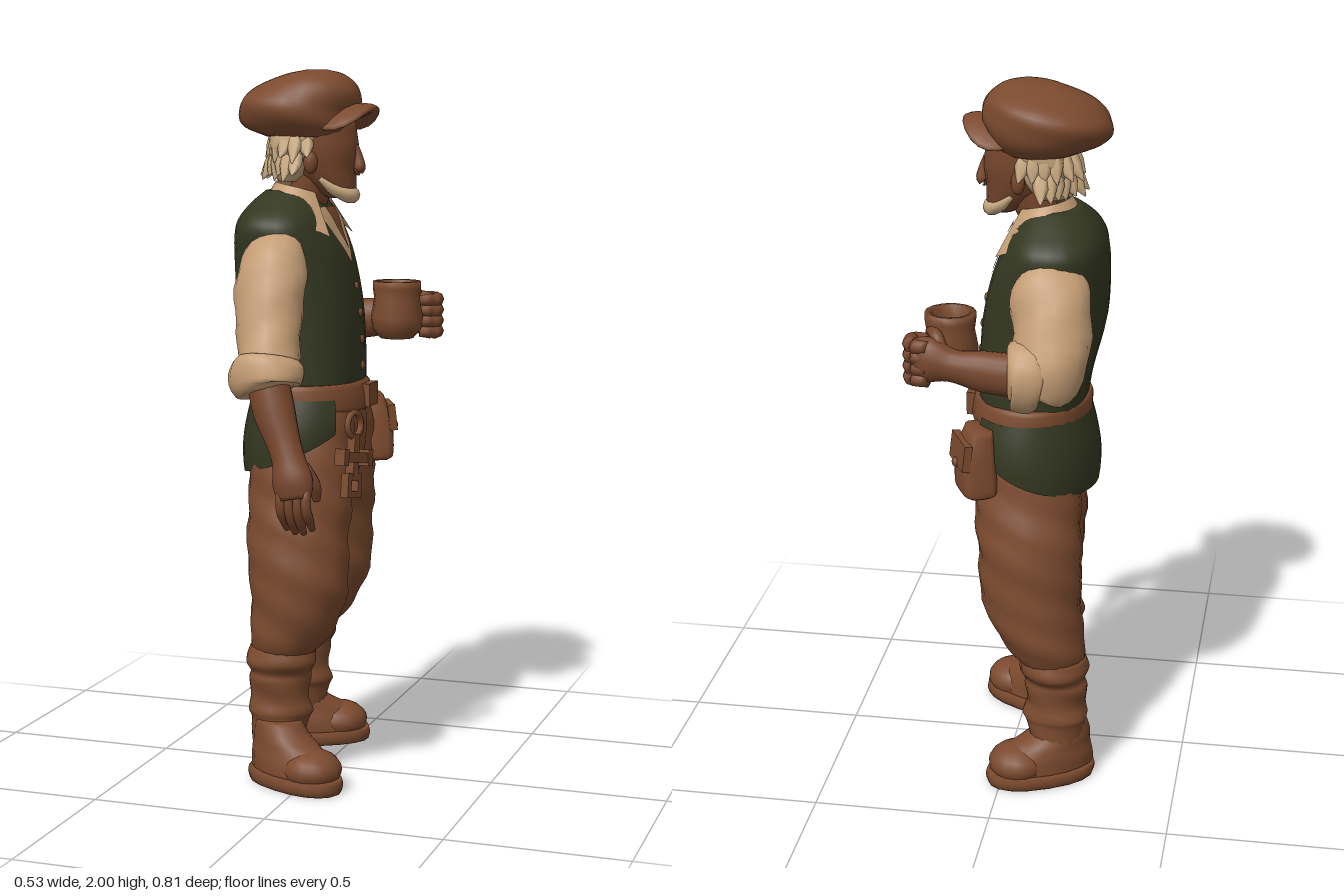
import * as THREE from 'three';

const mat = (name, color, side = THREE.FrontSide) =>
  Object.assign(new THREE.MeshStandardMaterial({ color, side }), { name });
const brown = mat('leather brown', 0x7b4a2e);
const skin = mat('skin', 0x77462c);
const green = mat('vest green', 0x333720, THREE.DoubleSide);
const cream = mat('shirt cream', 0xc39c74, THREE.DoubleSide);
const hairTone = mat('pale hair', 0xcaab82);

export function createModel() {
  const root = new THREE.Group();
  root.name = 'standingMan';
  const V = (x, y, z) => new THREE.Vector3(x, y, z);
  const MID = -0.05; // body centre line in z; the figure looks along +x

  const add = (name, geo, material, parent = root) => {
    const m = new THREE.Mesh(geo, material);
    m.name = name;
    parent.add(m);
    return m;
  };

  // Smooth skin over elliptical rings [x, y, z, ra, rb].
  // level: flat rings listed upwards (ra along x, rb along z); otherwise rings follow the path.
  function loft(st, { level = false, sides = 18, sub = 4, p = 1, fold = 0 } = {}) {
    const path = new THREE.CatmullRomCurve3(st.map(s => V(s[0], s[1], s[2])), false, 'catmullrom', 0.5);
    const radii = new THREE.CatmullRomCurve3(st.map(s => V(s[3], s[4], 0)), false, 'catmullrom', 0.5);
    const n = (st.length - 1) * sub, pos = [], idx = [];
    const pw = c => Math.sign(c) * Math.abs(c) ** p;
    for (let i = 0; i <= n; i++) {
      const c = path.getPoint(i / n), r = radii.getPoint(i / n), t = path.getTangent(i / n);
      let u = V(0, 0, 1), v = V(1, 0, 0), a = r.y, b = r.x;
      if (!level) {
        const ref = Math.abs(t.x) > 0.8 ? V(0, 1, 0) : V(1, 0, 0);
        u = ref.addScaledVector(t, -ref.dot(t)).normalize();
        v = t.clone().cross(u);
        [a, b] = [r.x, r.y];
      }
      for (let j = 0; j < sides; j++) {
        const q = j / sides * Math.PI * 2;
        const k = 1 + fold * Math.sin(2 * q + c.y * 38) * Math.sin(q + c.y * 17);
        const w = c.clone().addScaledVector(u, pw(Math.cos(q)) * a * k).addScaledVector(v, pw(Math.sin(q)) * b * k);
        pos.push(w.x, w.y, w.z);
        if (i < n) {
          const A = i * sides + j, B = i * sides + (j + 1) % sides;
          idx.push(A, B, A + sides, B, B + sides, A + sides);
        }
      }
    }
    const e = (n + 1) * sides;
    pos.push(...path.getPoint(0).toArray(), ...path.getPoint(1).toArray());
    for (let j = 0; j < sides; j++) {
      const k = (j + 1) % sides;
      idx.push(e, k, j, e + 1, n * sides + j, n * sides + k);
    }
    const g = new THREE.BufferGeometry();
    g.setAttribute('position', new THREE.Float32BufferAttribute(pos, 3));
    g.setIndex(idx);
    g.computeVertexNormals();
    return g;
  }
  const level = (st, o) => loft(st.map(([y, x, z, rx, rz]) => [x, y, z, rx, rz]), { level: true, ...o });

  // Open sheet: u and v run 0..1 through a rule
  function sheet(rule, nu, nv) {
    const g = new THREE.PlaneGeometry(1, 1, nu, nv), p = g.attributes.position, uv = g.attributes.uv;
    for (let i = 0; i < p.count; i++) p.setXYZ(i, ...rule(uv.getX(i), uv.getY(i)));
    g.computeVertexNormals();
    return g;
  }
  const ball = (name, material, c, r, parent) => {
    const m = add(name, new THREE.SphereGeometry(1, 16, 12), material, parent);
    m.position.set(...c);
    m.scale.set(...r);
    return m;
  };
  const box = (name, size, c, parent) => {
    const m = add(name, new THREE.BoxGeometry(...size), brown, parent);
    m.position.set(...c);
    return m;
  };

  // Legs and boots; the s = -1 leg stands a little further back
  for (const s of [1, -1]) {
    const place = ([y, x, d, rx, rz]) =>
      [y, x - (s < 0 ? THREE.MathUtils.clamp(0.1 * (0.95 - y), 0, 0.06) : 0), -0.045 + s * d, rx, rz];
    add('trouserLeg', level([
      [0.36, -0.08, 0.17, 0.085, 0.085], [0.4, -0.066, 0.165, 0.107, 0.11], [0.46, -0.05, 0.16, 0.125, 0.127],
      [0.58, -0.035, 0.165, 0.143, 0.123], [0.72, -0.042, 0.147, 0.147, 0.13], [0.83, -0.048, 0.12, 0.15, 0.128],
      [0.97, -0.05, 0.092, 0.152, 0.122], [1.07, -0.052, 0.075, 0.147, 0.115]].map(place), { fold: 0.05 }), brown);
    add('bootShaft', level([
      [0.06, -0.09, 0.185, 0.07, 0.065], [0.17, -0.09, 0.178, 0.083, 0.072], [0.2, -0.09, 0.175, 0.094, 0.08],
      [0.24, -0.09, 0.175, 0.084, 0.072], [0.29, -0.09, 0.175, 0.09, 0.08], [0.315, -0.085, 0.175, 0.087, 0.08],
      [0.345, -0.08, 0.178, 0.1, 0.097], [0.385, -0.078, 0.172, 0.093, 0.093]].map(place), { fold: 0.05 }), brown);
    const boot = new THREE.Group();
    boot.name = 'boot';
    boot.position.set(s > 0 ? -0.04 : -0.126, 0, s > 0 ? 0.182 : -0.238);
    boot.rotation.y = -s * 0.45;
    root.add(boot);
    add('sole', level([[0, 0.02, 0, 0.157, 0.083], [0.02, 0.02, 0, 0.162, 0.089], [0.04, 0.02, 0, 0.158, 0.085]],
      { p: 0.88, sub: 2 }), brown, boot);
    add('bootUpper', level([[0.035, 0.015, 0, 0.15, 0.08], [0.075, 0.008, 0, 0.142, 0.078],
      [0.11, -0.01, 0, 0.118, 0.072], [0.14, -0.036, 0, 0.09, 0.068], [0.18, -0.048, 0, 0.068, 0.06]],
    { fold: 0.03 }), brown, boot);
    ball('toeCap', brown, [0.088, 0.06, 0], [0.085, 0.056, 0.083], boot);
  }
  add('trouserSeat', level([[0.81, -0.05, -0.045, 0.075, 0.07], [0.85, -0.05, -0.045, 0.125, 0.13],
    [0.93, -0.05, -0.045, 0.148, 0.19], [1.03, -0.05, -0.045, 0.152, 0.198],
    [1.1, -0.055, -0.045, 0.148, 0.19]]), brown);

  // Vest with its tail hanging below the belt, longest at the back
  const vest = add('vest', level([[1.08, -0.055, MID, 0.147, 0.185], [1.2, -0.065, MID, 0.157, 0.187],
    [1.35, -0.088, MID, 0.17, 0.195], [1.48, -0.105, MID, 0.158, 0.207], [1.55, -0.117, MID, 0.14, 0.217],
    [1.59, -0.12, MID, 0.126, 0.2], [1.63, -0.118, MID, 0.102, 0.145], [1.665, -0.11, MID, 0.072, 0.088]],
  { p: 0.83, sides: 32 }), green);
  add('vestTail', sheet((u, v) => {
    const a = (u - 0.5) * 4.7, side = Math.abs(u - 0.5) * 2;
    const low = 0.865 + 0.13 * side * side, f = 1 - v;
    const swell = 0.012 + 0.03 * Math.sin(f * Math.PI * 0.7) * (1 - 0.6 * side);
    return [-0.05 - Math.cos(a) * (0.155 + swell), 1.09 + (low - 1.09) * f,
      -0.045 + Math.sin(a) * (0.2 + swell + 0.012 * f)];
  }, 32, 8), green);

  // Open neck, collar and buttons follow the vest front
  vest.updateMatrixWorld();
  const ray = new THREE.Raycaster();
  const frontX = (y, z) => {
    ray.set(V(1, y, z), V(-1, 0, 0));
    const hit = ray.intersectObject(vest)[0];
    return hit ? hit.point.x : -0.05;
  };
  const neckline = (low, w, lift) => sheet((u, v) => {
    const y = low + (1.62 - low) * v, z = -0.06 + (0.5 - u) * 2 * w * v;
    return [frontX(y, z) + lift, y, z];
  }, 8, 10);
  add('shirtFront', neckline(1.455, 0.108, 0.004), cream);
  add('bareChest', neckline(1.5, 0.042, 0.008), skin);
  add('collar', sheet((u, v) => {
    const a = (u - 0.5) * 5, k = (2 * u - 1) ** 2, f = 1 - v;
    const r = 0.072 + 0.036 * f + 0.042 * k * f;
    return [-0.085 - Math.cos(a) * r, 1.69 - 0.06 * f - k * (0.03 + 0.06 * f), MID + Math.sin(a) * r * 1.15];
  }, 28, 4), cream);
  for (let i = 0; i < 4; i++) {
    const y = 1.17 + i * 0.075;
    ball('button', brown, [frontX(y, -0.065), y, -0.065], [0.008, 0.013, 0.013]);
  }

  // Belt, buckle, pouch and hanging key
  add('belt', level([[1.05, -0.05, -0.045, 0.16, 0.203], [1.065, -0.05, -0.045, 0.168, 0.211],
    [1.115, -0.055, -0.045, 0.166, 0.207], [1.13, -0.055, -0.045, 0.158, 0.197]], { sides: 28, sub: 2 }), brown);
  box('buckle', [0.025, 0.065, 0.08], [0.115, 1.09, -0.06]);
  const pouch = new THREE.Group();
  pouch.name = 'pouch';
  pouch.position.set(0.08, 0.97, -0.225);
  pouch.rotation.y = 0.45;
  root.add(pouch);
  add('pouchBody', level([[-0.09, 0, 0, 0.035, 0.065], [-0.07, 0, 0, 0.05, 0.075], [0.03, 0, 0, 0.045, 0.068],
    [0.1, -0.01, 0, 0.03, 0.055]], { p: 0.5, sides: 20 }), brown, pouch);
  box('pouchFlap', [0.022, 0.075, 0.135], [0.042, 0.035, 0], pouch).rotation.z = 0.12;
  ball('pouchStud', brown, [0.058, 0.005, 0], [0.01, 0.014, 0.014], pouch);
  const key = new THREE.Group();
  key.name = 'hangingKey';
  key.position.set(0.125, 0.935, 0.122);
  key.rotation.set(-0.15, -0.25, 0);
  root.add(key);
  const ring = add('keyRing', new THREE.TorusGeometry(0.034, 0.009, 8, 18), brown, key);
  ring.position.y = 0.09;
  ring.rotation.y = Math.PI / 2;
  box('keyStem', [0.026, 0.13, 0.026], [0, 0, 0], key);
  box('keyCrossbar', [0.028, 0.028, 0.13], [0.004, 0, 0], key);
  for (const s of [1, -1]) {
    box('keyBarEnd', [0.034, 0.046, 0.022], [0.004, 0, s * 0.062], key);
    box('keyLoopSide', [0.024, 0.062, 0.018], [0, -0.078, s * 0.026], key);
    box('keyLoopBar', [0.024, 0.018, 0.068], [0, -0.078 + s * 0.025, 0], key);
  }

  // Lowered arm
  add('loweredSleeve', loft([[-0.1, 1.52, 0.1, 0.06, 0.05], [-0.095, 1.48, 0.155, 0.092, 0.072],
    [-0.09, 1.4, 0.19, 0.1, 0.08], [-0.08, 1.28, 0.237, 0.089, 0.078],
    [-0.07, 1.19, 0.275, 0.085, 0.075]], { fold: 0.07 }), cream);
  add('loweredCuff', loft([[-0.07, 1.22, 0.272, 0.085, 0.075], [-0.07, 1.195, 0.28, 0.102, 0.088],
    [-0.07, 1.15, 0.29, 0.1, 0.084], [-0.065, 1.13, 0.295, 0.07, 0.06]], { fold: 0.06 }), cream);
  add('loweredForearm', loft([[-0.06, 1.16, 0.295, 0.058, 0.055], [-0.035, 1.08, 0.315, 0.058, 0.052],
    [0.0, 1.0, 0.337, 0.047, 0.042], [0.02, 0.95, 0.35, 0.047, 0.04], [0.035, 0.9, 0.365, 0.057, 0.038],
    [0.043, 0.855, 0.372, 0.048, 0.027]]), skin);
  for (let i = 0; i < 4; i++) {
    const x = 0.004 + i * 0.024, drop = [0.01, 0, 0, 0.012][i];
    add('finger', loft([[x, 0.88, 0.373, 0.014, 0.017], [x + 0.002, 0.83, 0.38, 0.015, 0.016],
      [x + 0.004, 0.79 + drop, 0.362, 0.014, 0.014], [x + 0.006, 0.757 + drop, 0.338, 0.009, 0.009]],
    { sides: 8, sub: 2 }), skin);
  }
  add('thumb', loft([[0.058, 0.94, 0.345, 0.02, 0.018], [0.084, 0.89, 0.33, 0.019, 0.018],
    [0.086, 0.845, 0.315, 0.011, 0.011]], { sides: 8 }), skin);

  // Raised arm holding the mug
  add('raisedSleeve', loft([[-0.11, 1.52, -0.19, 0.065, 0.055], [-0.125, 1.485, -0.232, 0.105, 0.075],
    [-0.135, 1.4, -0.268, 0.107, 0.085], [-0.13, 1.28, -0.31, 0.1, 0.087],
    [-0.1, 1.22, -0.325, 0.075, 0.07]], { fold: 0.07 }), cream);
  add('raisedCuff', loft([[-0.12, 1.26, -0.325, 0.08, 0.075], [-0.095, 1.265, -0.328, 0.1, 0.08],
    [-0.05, 1.275, -0.33, 0.098, 0.077], [-0.03, 1.275, -0.332, 0.07, 0.06]], { fold: 0.06 }), cream);
  add('raisedForearm', loft([[-0.06, 1.27, -0.335, 0.06, 0.05], [0.04, 1.28, -0.338, 0.057, 0.044],
    [0.12, 1.29, -0.335, 0.045, 0.038], [0.18, 1.3, -0.328, 0.064, 0.044],
    [0.225, 1.3, -0.32, 0.058, 0.034]]), skin);
  for (let i = 0; i < 4; i++) {
    const y = 1.248 + i * 0.031;
    add('finger', loft([[0.185, y, -0.35, 0.019, 0.019], [0.232, y, -0.335, 0.021, 0.021],
      [0.237, y, -0.285, 0.02, 0.02], [0.2, y, -0.27, 0.014, 0.014]], { sides: 8 }), skin);
  }
  add('thumb', loft([[0.15, 1.33, -0.33, 0.018, 0.018], [0.17, 1.365, -0.31, 0.018, 0.018],
    [0.195, 1.365, -0.275, 0.011, 0.011]], { sides: 8 }), skin);
  const mug = add('mug', new THREE.LatheGeometry([[0, 0], [0.048, 0], [0.07, 0.025], [0.076, 0.06], [0.066, 0.115],
    [0.07, 0.145], [0.07, 0.165], [0.053, 0.165], [0.05, 0.125], [0.049, 0.12], [0, 0.12]]
    .map(q => new THREE.Vector2(...q)), 14), brown);
  mug.position.set(0.148, 1.235, -0.215);
  const handle = add('mugHandle', new THREE.TorusGeometry(0.045, 0.012, 8, 18), brown);
  handle.position.set(0.175, 1.305, -0.285);
  handle.rotation.y = 1.2;

  // Neck, head and face
  add('neck', loft([[-0.09, 1.56, MID, 0.07, 0.075], [-0.07, 1.63, MID, 0.056, 0.06],
    [-0.04, 1.72, MID, 0.065, 0.065]]), skin);
  add('head', level([[1.645, 0.03, MID, 0.035, 0.038], [1.67, 0.015, MID, 0.06, 0.06],
    [1.72, -0.012, MID, 0.087, 0.083], [1.78, -0.026, MID, 0.108, 0.097],
    [1.86, -0.04, MID, 0.11, 0.1]]), skin);
  add('nose', loft([[0.072, 1.79, MID, 0.012, 0.011], [0.082, 1.755, MID, 0.016, 0.014],
    [0.086, 1.727, MID, 0.018, 0.02], [0.072, 1.715, MID, 0.01, 0.012]], { sides: 10 }), skin);
  add('beard', loft([[-0.005, 1.7, MID - 0.074, 0.007, 0.006], [0.03, 1.668, MID - 0.051, 0.018, 0.015],
    [0.058, 1.654, MID - 0.022, 0.021, 0.022], [0.064, 1.652, MID, 0.022, 0.023],
    [0.058, 1.654, MID + 0.022, 0.021, 0.022], [0.03, 1.668, MID + 0.051, 0.018, 0.015],
    [-0.005, 1.7, MID + 0.074, 0.007, 0.006]], { sides: 10 }), hairTone);
  for (const s of [1, -1]) {
    ball('ear', skin, [-0.025, 1.745, MID + s * 0.096], [0.02, 0.032, 0.016]).rotation.y = s * 0.4;
  }

  // Hair: a rounded back reaching the temples, with ragged tufts flicking outwards
  add('hairBack', level([[1.69, -0.105, MID, 0.045, 0.06], [1.73, -0.095, MID, 0.072, 0.09],
    [1.775, -0.085, MID, 0.085, 0.108], [1.81, -0.072, MID, 0.092, 0.113], [1.86, -0.07, MID, 0.095, 0.113]],
  { p: 0.85, fold: 0.06, sides: 24 }), hairTone);
  for (let row = 0; row < 2; row++) {
    for (let i = 0; i < 13; i++) {
      const a = (i / 12 - 0.5) * (4 - row * 0.9) + row * 0.12, c = -Math.cos(a), s = Math.sin(a);
      const out = 0.036 + 0.016 * Math.sin(i * 5.3 + row), y = 1.825 - row * 0.05;
      const at = (r, h, w) => [-0.075 + c * (0.076 + r), h, MID + s * (0.094 + r), w, w * 0.7];
      add('hairTuft', loft([at(0, y, 0.02), at(out * 0.45, y - 0.04, 0.021),
        at(out, y - 0.075 - 0.02 * Math.sin(i * 3.1), 0.002)], { sides: 6, sub: 2 }), hairTone);
    }
  }

  // Flat cap with a soft crown and a short arched brim
  add('capCrown', level([[1.815, -0.065, MID, 0.115, 0.112], [1.84, -0.085, MID, 0.155, 0.14],
    [1.875, -0.092, MID, 0.17, 0.16], [1.915, -0.085, MID, 0.17, 0.162], [1.955, -0.066, MID, 0.143, 0.135],
    [1.987, -0.045, MID + 0.01, 0.085, 0.08], [2.0, -0.035, MID + 0.015, 0.03, 0.03]],
  { fold: 0.045, sides: 24 }), brown);
  const brim = new THREE.SphereGeometry(1, 20, 12).scale(0.095, 0.022, 0.118), bp = brim.attributes.position;
  for (let i = 0; i < bp.count; i++) bp.setY(i, bp.getY(i) - 3.2 * bp.getZ(i) ** 2);
  brim.computeVertexNormals();
  const capBrim = add('capBrim', brim, brown);
  capBrim.position.set(0.045, 1.88, MID + 0.004);
  capBrim.rotation.z = 0.18;

  return root;
}
